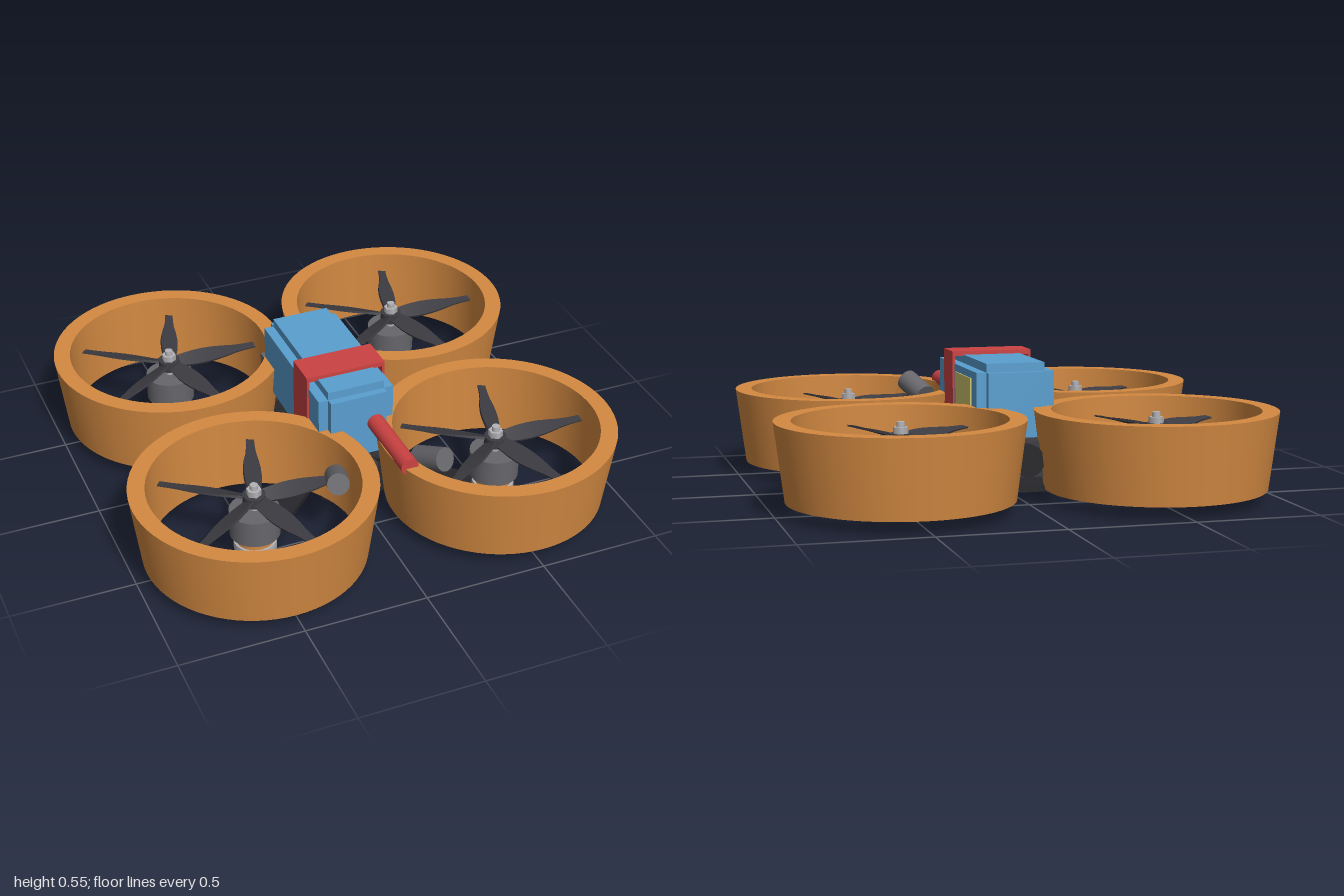
import * as THREE from 'three';
import { toCreasedNormals } from 'three/addons/utils/BufferGeometryUtils.js';

const mat = (name, color) => {
  const m = new THREE.MeshStandardMaterial({ color });
  m.name = name;
  return m;
};

export function createModel() {
  const M = {
    duct: mat('orange duct', 0xd48a42),
    blue: mat('battery blue', 0x5a9fd0),
    red: mat('strap red', 0xcc4242),
    yellow: mat('label yellow', 0xd2c870),
    green: mat('board green', 0x2f7d5b),
    black: mat('carbon black', 0x27272b),
    dark: mat('propeller charcoal', 0x3b3b41),
    grey: mat('motor grey', 0x66666b),
    silver: mat('silver', 0xb4b4b8),
  };
  const model = new THREE.Group();
  model.name = 'ductedQuadcopter';

  const add = (name, geo, material, parent = model, x = 0, y = 0, z = 0) => {
    const mesh = new THREE.Mesh(geo, material);
    mesh.name = name;
    mesh.position.set(x, y, z);
    parent.add(mesh);
    return mesh;
  };
  // Box given by its lower and upper limits on each axis
  const box = (name, material, [x0, x1], [y0, y1], [z0, z1]) =>
    add(name, new THREE.BoxGeometry(x1 - x0, y1 - y0, z1 - z0), material, model,
      (x0 + x1) / 2, (y0 + y1) / 2, (z0 + z1) / 2);
  // Upright cylinder between two heights
  const post = (name, material, r, y0, y1, parent = model, x = 0, z = 0, sides = 28) =>
    add(name, new THREE.CylinderGeometry(r, r, y1 - y0, sides), material, parent, x, (y0 + y1) / 2, z);
  // Round rod between two points
  const rod = (name, material, r, from, to) => {
    const a = new THREE.Vector3(...from), b = new THREE.Vector3(...to);
    const mesh = add(name, new THREE.CylinderGeometry(r, r, a.distanceTo(b), 20), material);
    mesh.position.copy(a).lerp(b, 0.5);
    mesh.quaternion.setFromUnitVectors(new THREE.Vector3(0, 1, 0), b.sub(a).normalize());
    return mesh;
  };

  // Tapered duct ring, closed profile
  const ductGeo = toCreasedNormals(new THREE.LatheGeometry(
    [[0.443, 0.05], [0.483, 0.36], [0.415, 0.36], [0.415, 0.05], [0.443, 0.05]]
      .map(([x, y]) => new THREE.Vector2(x, y)), 72), 0.6);

  // Twisted, tapering blade along +x
  const bladeGeo = new THREE.BoxGeometry(0.37, 0.012, 1, 8, 1, 1);
  const p = bladeGeo.attributes.position;
  for (let i = 0; i < p.count; i++) {
    const t = p.getX(i) / 0.37 + 0.5;
    const width = 0.045 + 0.035 * Math.sin(Math.PI * Math.min(1, t * 1.25)) - 0.012 * t;
    const pitch = 0.5 - 0.35 * t;
    const z = p.getZ(i) * width, y = p.getY(i) * (1 - 0.5 * t);
    p.setXYZ(i, 0.015 + 0.37 * t, y * Math.cos(pitch) - z * Math.sin(pitch),
      z * Math.cos(pitch) + y * Math.sin(pitch));
  }
  const blade = toCreasedNormals(bladeGeo, 0.5);

  // Four rotor units
  const C = 0.516;
  for (const sx of [-1, 1]) for (const sz of [-1, 1]) {
    const unit = new THREE.Group();
    unit.name = (sz > 0 ? 'front' : 'back') + (sx > 0 ? 'Left' : 'Right') + 'Rotor';
    unit.position.set(sx * C, 0, sz * C);
    model.add(unit);
    add('duct', ductGeo, M.duct, unit);
    post('motorMount', M.black, 0.085, 0.03, 0.055, unit);
    post('motorBase', M.silver, 0.085, 0.055, 0.09, unit);
    post('motorCoil', M.duct, 0.075, 0.09, 0.125, unit);
    post('motorBell', M.grey, 0.1, 0.125, 0.235, unit);
    post('shaft', M.silver, 0.016, 0.235, 0.35, unit);
    post('propellerHub', M.dark, 0.045, 0.265, 0.305, unit);
    post('propellerNut', M.silver, 0.03, 0.305, 0.33, unit, 0, 0, 6);
    for (let i = 0; i < 5; i++) {
      const b = add('propellerBlade', blade, M.dark, unit, 0, 0.287, 0);
      b.rotation.y = i * Math.PI * 0.4;
    }
    // Arm from the hub to the motor
    const arm = add('arm', new THREE.BoxGeometry(0.73, 0.024, 0.1), M.black, model,
      sx * C / 2, 0.042, sz * C / 2);
    arm.rotation.y = -Math.atan2(sz, sx);
  }

  // Base plate with cut corners, and centre bolt
  const plate = new THREE.Shape([[-0.155, -0.31], [-0.12, -0.35], [0.12, -0.35], [0.155, -0.31],
    [0.155, 0.31], [0.12, 0.35], [-0.12, 0.35], [-0.155, 0.31]].map(([x, y]) => new THREE.Vector2(x, y)));
  const plateGeo = new THREE.ExtrudeGeometry(plate, { depth: 0.028, bevelEnabled: false });
  add('basePlate', plateGeo.rotateX(-Math.PI / 2), M.black, model, 0, 0.034, 0);
  post('centreBolt', M.black, 0.04, 0, 0.075);

  // Circuit boards on standoffs
  box('lowerBoard', M.green, [-0.14, 0.14], [0.11, 0.14], [-0.14, 0.14]);
  box('upperBoard', M.green, [-0.14, 0.14], [0.19, 0.215], [-0.14, 0.14]);
  for (const x of [-0.115, 0.115]) for (const z of [-0.115, 0.115])
    post('standoff', M.black, 0.018, 0.06, 0.2, model, x, z, 12);

  // Battery: crossed boxes that step in at the edges
  box('batteryCore', M.blue, [-0.12, 0.12], [0.2, 0.535], [-0.3, 0.3]);
  box('batterySides', M.blue, [-0.16, 0.16], [0.235, 0.5], [-0.3, 0.3]);
  box('batteryEnds', M.blue, [-0.12, 0.12], [0.235, 0.5], [-0.33, 0.33]);
  box('batteryLabel', M.yellow, [0.159, 0.165], [0.265, 0.47], [-0.22, 0.02]);

  // Strap loop around the battery
  box('strapTop', M.red, [-0.165, 0.165], [0.53, 0.55], [0.05, 0.195]);
  box('strapBottom', M.red, [-0.165, 0.165], [0.185, 0.205], [0.05, 0.195]);
  for (const s of [-1, 1])
    box('strapSide', M.red, [s * 0.1625 - 0.0055, s * 0.1625 + 0.0055], [0.185, 0.55], [0.05, 0.195]);

  // Battery lead and front connector
  rod('batteryLead', M.red, 0.036, [0.073, 0.367, 0.3], [0.073, 0.367, 0.66]);
  box('frontConnector', M.dark, [-0.07, 0.07], [0.14, 0.19], [0.26, 0.365]);

  // Camera in its bracket at the back
  box('cameraBody', M.dark, [-0.1, 0.1], [0.1, 0.24], [-0.45, -0.34]);
  rod('cameraLens', M.black, 0.065, [0, 0.17, -0.44], [0, 0.17, -0.49]);
  for (const s of [-1, 1])
    box('cameraBracket', M.grey, [s * 0.115 - 0.01, s * 0.115 + 0.01], [0.06, 0.28], [-0.45, -0.4]);
  box('bracketFoot', M.black, [-0.125, 0.125], [0.04, 0.065], [-0.45, -0.32]);

  // Two antennas reaching forward
  rod('rightAntennaStalk', M.dark, 0.02, [-0.09, 0.19, 0.32], [-0.17, 0.28, 0.5]);
  rod('rightAntenna', M.grey, 0.044, [-0.165, 0.275, 0.485], [-0.205, 0.328, 0.61]);
  rod('leftAntennaStalk', M.dark, 0.02, [0.08, 0.19, 0.32], [0.175, 0.31, 0.55]);
  rod('leftAntenna', M.grey, 0.048, [0.17, 0.305, 0.535], [0.222, 0.362, 0.66]);

  return model;
}
